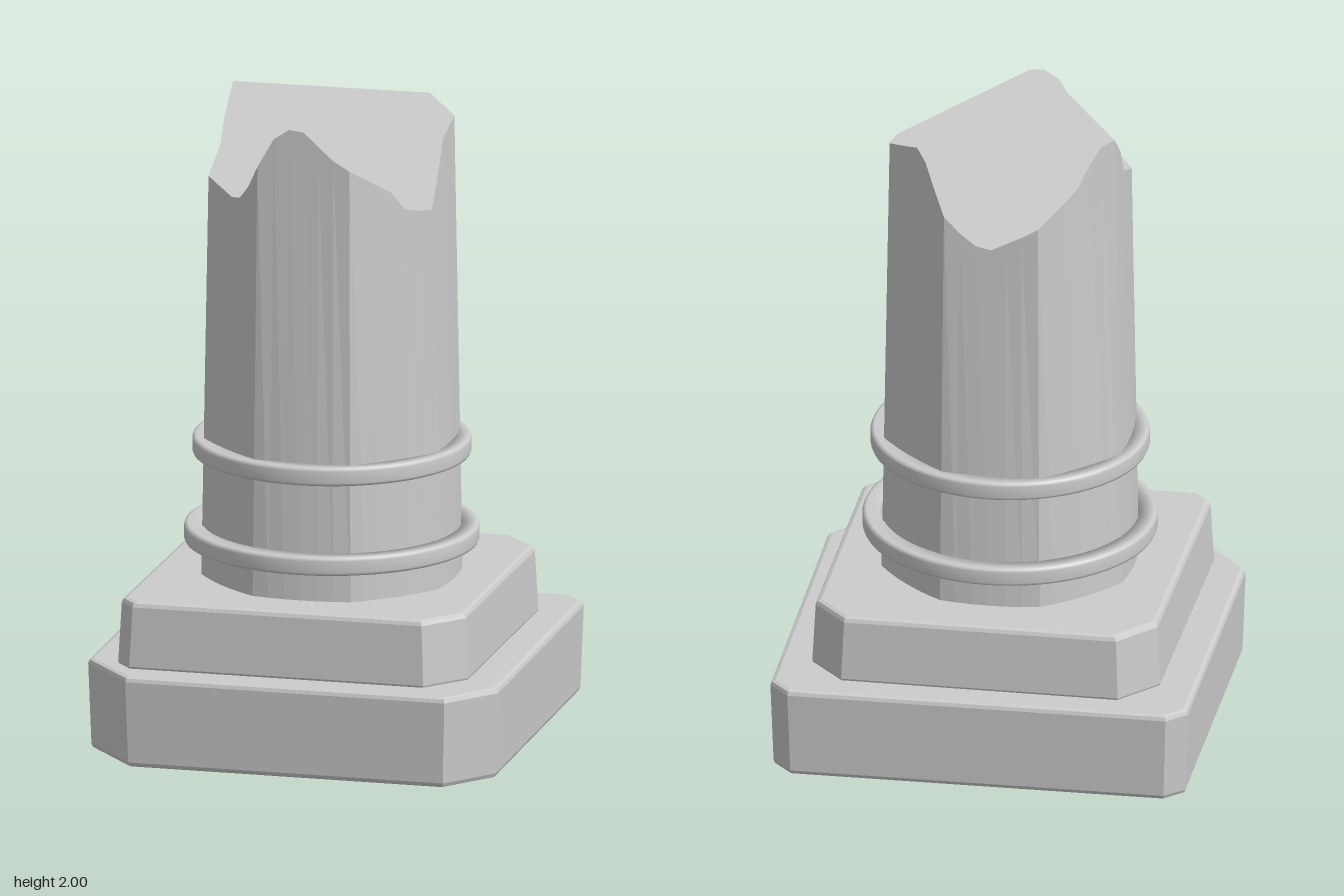
import * as THREE from 'three';

const grey = new THREE.MeshStandardMaterial({ color: 0xcccccc });
const facet = new THREE.MeshStandardMaterial({ color: 0xcccccc, flatShading: true });
const twoSided = new THREE.MeshStandardMaterial({ color: 0xcccccc, side: THREE.DoubleSide });

function addMesh(group, name, geometry, material) {
  const mesh = new THREE.Mesh(geometry, material);
  mesh.name = name;
  group.add(mesh);
}

// Bevelled slab from an [x, z] outline; flare scales the width from bottom to top
function slab(outline, y0, y1, flare) {
  const bevel = 0.016;
  const shape = new THREE.Shape(outline.map(([x, z]) => new THREE.Vector2(x, -z)));
  const geo = new THREE.ExtrudeGeometry(shape, {
    depth: y1 - y0 - 2 * bevel, bevelThickness: bevel, bevelSize: bevel,
    bevelOffset: -bevel, bevelSegments: 2,
  });
  geo.rotateX(-Math.PI / 2).translate(0, y0 + bevel, 0);
  const p = geo.attributes.position;
  for (let i = 0; i < p.count; i++) {
    const t = (p.getY(i) - y0) / (y1 - y0);
    const s = THREE.MathUtils.lerp(flare[0], flare[1], t);
    p.setX(i, p.getX(i) * s);
    p.setZ(i, p.getZ(i) * s);
  }
  geo.computeVertexNormals();
  return geo;
}

// Band with a softly rounded rectangular section
function band(outer, y0, y1) {
  const inner = outer - 0.055, r = 0.012;
  const pts = [
    [inner, y0], [outer - r, y0], [outer - r * 0.3, y0 + r * 0.3], [outer, y0 + r],
    [outer, y1 - r], [outer - r * 0.3, y1 - r * 0.3], [outer - r, y1], [inner, y1], [inner, y0],
  ];
  return new THREE.LatheGeometry(pts.map(([x, y]) => new THREE.Vector2(x, y)), 64);
}

// Broken edge: height against angle in degrees, from +x towards +z
const RIM = [
  [0, 1.9], [12, 1.8], [22.5, 1.71], [36, 1.715], [45, 1.785], [60, 1.84], [75, 1.9],
  [90, 1.985], [97.5, 1.99], [104, 1.97], [117, 1.81], [130, 1.73], [157, 1.77],
  [172, 1.81], [180, 1.83], [188, 1.92], [202.5, 2.0], [210, 1.99], [217, 1.94],
  [225, 1.87], [253, 1.75], [270, 1.695], [280, 1.71], [292, 1.79], [307, 1.94],
  [315, 1.975], [337.5, 1.935], [360, 1.9],
];
const SIDES = 48;
const FOOT = 0.49;

function rimHeight(deg) {
  const i = RIM.findIndex(([d]) => d > deg);
  const [d0, y0] = RIM[i - 1], [d1, y1] = RIM[i];
  return y0 + (y1 - y0) * (deg - d0) / (d1 - d0);
}

// Nearly round at the foot, flattening to eight sides towards the top
function shaftPoint(k, y) {
  const deg = (k % SIDES) * 360 / SIDES;
  const corner = 1 - Math.abs((deg % 45) - 22.5) / 22.5;
  const t = (y - FOOT) / (2 - FOOT);
  const mid = THREE.MathUtils.lerp(0.393, 0.352, t);
  const tip = THREE.MathUtils.lerp(0.408, 0.381, t);
  const r = mid + (tip - mid) * corner * corner;
  const a = THREE.MathUtils.degToRad(deg);
  return [r * Math.cos(a), y, r * Math.sin(a)];
}

const rimPoint = (k) => shaftPoint(k, rimHeight((k % SIDES) * 360 / SIDES));

function shaftWall() {
  const pos = [], index = [];
  for (let k = 0; k < SIDES; k++) {
    pos.push(...shaftPoint(k, FOOT), ...rimPoint(k));
    const b = 2 * k, n = 2 * ((k + 1) % SIDES);
    index.push(b, b + 1, n + 1, b, n + 1, n);
  }
  const geo = new THREE.BufferGeometry();
  geo.setAttribute('position', new THREE.Float32BufferAttribute(pos, 3));
  geo.setIndex(index);
  geo.computeVertexNormals();
  return geo;
}

// Fracture face: two middle triangles between the peaks, and a fan down into each notch
function fractureFace() {
  const pos = [], normal = [], index = [];
  for (let k = 0; k < SIDES; k++) {
    pos.push(...rimPoint(k));
    normal.push(0, 1, 0);
  }
  const peaks = [0, 13, 27, 42, SIDES];
  for (let j = 0; j < 4; j++) {
    const start = peaks[j];
    for (let k = start + 1; k < peaks[j + 1]; k++) {
      index.push(start, (k + 1) % SIDES, k);
    }
  }
  index.push(0, 27, 13, 0, 42, 27);
  const geo = new THREE.BufferGeometry();
  geo.setAttribute('position', new THREE.Float32BufferAttribute(pos, 3));
  geo.setAttribute('normal', new THREE.Float32BufferAttribute(normal, 3));
  geo.setIndex(index);
  return geo;
}

export function createModel() {
  const model = new THREE.Group();
  model.name = 'brokenColumn';

  // Stepped base with unevenly worn corners
  addMesh(model, 'lowerPlinth', slab([
    [-0.66, 0.46], [-0.49, 0.66], [0.53, 0.665], [0.66, 0.5],
    [0.65, -0.6], [0.585, -0.67], [-0.6, -0.66], [-0.66, -0.6],
  ], 0, 0.29, [0.985, 1]), grey);
  addMesh(model, 'upperPlinth', slab([
    [-0.55, 0.49], [-0.5, 0.55], [0.43, 0.55], [0.54, 0.42],
    [0.54, -0.44], [0.43, -0.56], [-0.43, -0.56], [-0.54, -0.43],
  ], 0.28, 0.5, [1.01, 0.99]), grey);

  // Shaft
  addMesh(model, 'shaft', shaftWall(), facet);
  addMesh(model, 'fractureFace', fractureFace(), twoSided);

  // Bands around the shaft
  addMesh(model, 'lowerBand', band(0.457, 0.595, 0.655), grey);
  addMesh(model, 'upperBand', band(0.432, 0.875, 0.935), grey);

  return model;
}
